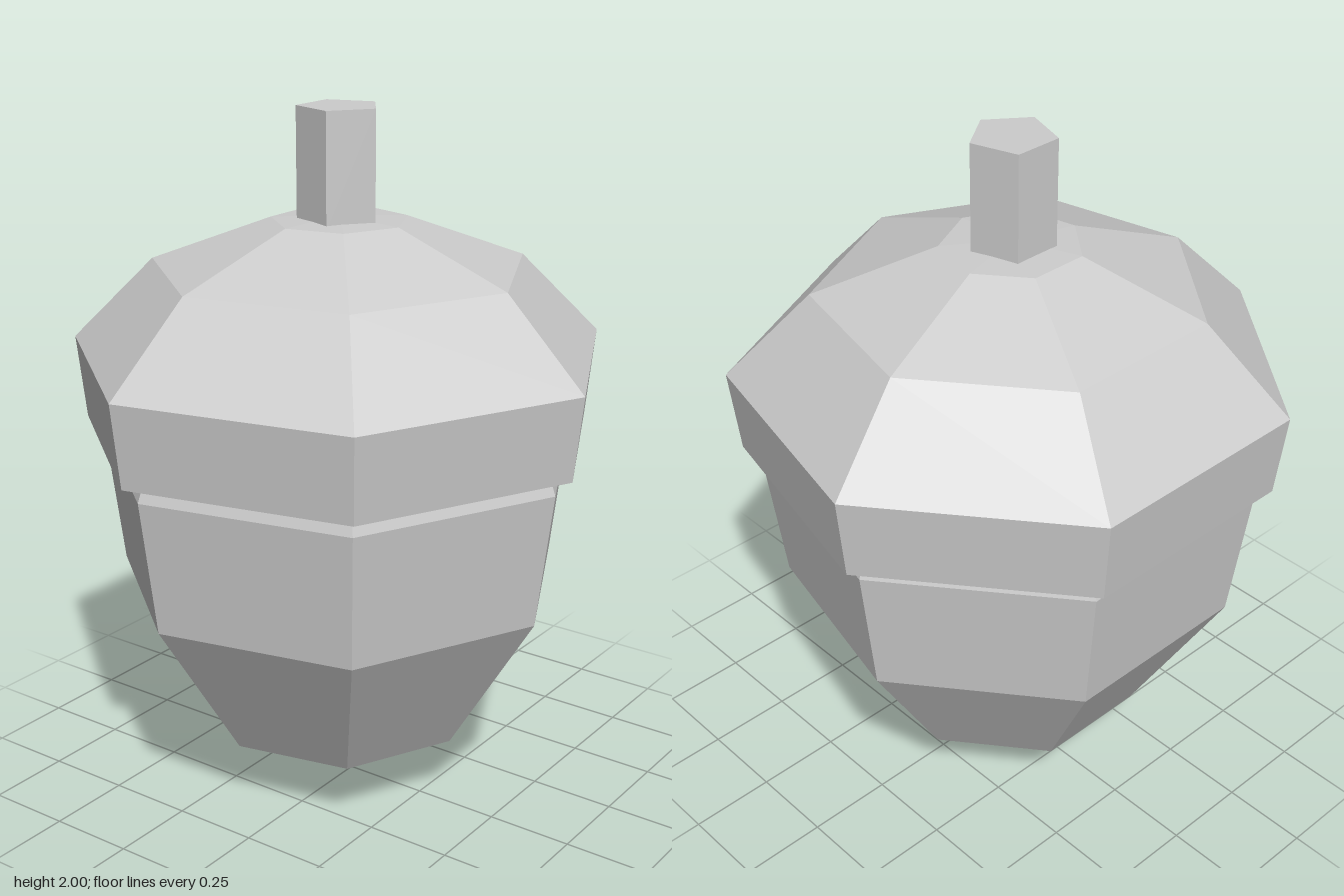
import * as THREE from 'three';

const SIDES = 7;

// Faceted solid of revolution with one corner pointing to +x
function facetedLathe(name, profile, material) {
  const points = profile.map(([r, y]) => new THREE.Vector2(r, y));
  const geometry = new THREE.LatheGeometry(points, SIDES, Math.PI / 2);
  const mesh = new THREE.Mesh(geometry, material);
  mesh.name = name;
  return mesh;
}

export function createModel() {
  const model = new THREE.Group();
  model.name = 'acorn';
  const grey = new THREE.MeshStandardMaterial({ color: 0xcccccc, flatShading: true });
  grey.name = 'light grey';

  // Nut: pointed at the bottom, tucked into the cap at the top
  const nut = facetedLathe('nut', [
    [0, 0], [0.39, 0.2], [0.656, 0.64], [0.705, 1.03], [0.685, 1.085],
  ], grey);

  // Cap: overhanging rim, flared band and shallow dome
  const cap = facetedLathe('cap', [
    [0.68, 1.08], [0.754, 1.08], [0.78, 1.32], [0.54, 1.56], [0.195, 1.69], [0, 1.7],
  ], grey);

  // Stem: five-sided post with one corner pointing to +x
  const stemGeometry = new THREE.CylinderGeometry(0.119, 0.119, 0.32, 5, 1, false, Math.PI / 2);
  const stem = new THREE.Mesh(stemGeometry, grey);
  stem.name = 'stem';
  stem.position.y = 1.84;

  // The odd-sided outline is centred by shifting its axis slightly
  for (const part of [nut, cap, stem]) {
    part.position.x = -0.039;
    model.add(part);
  }
  return model;
}
